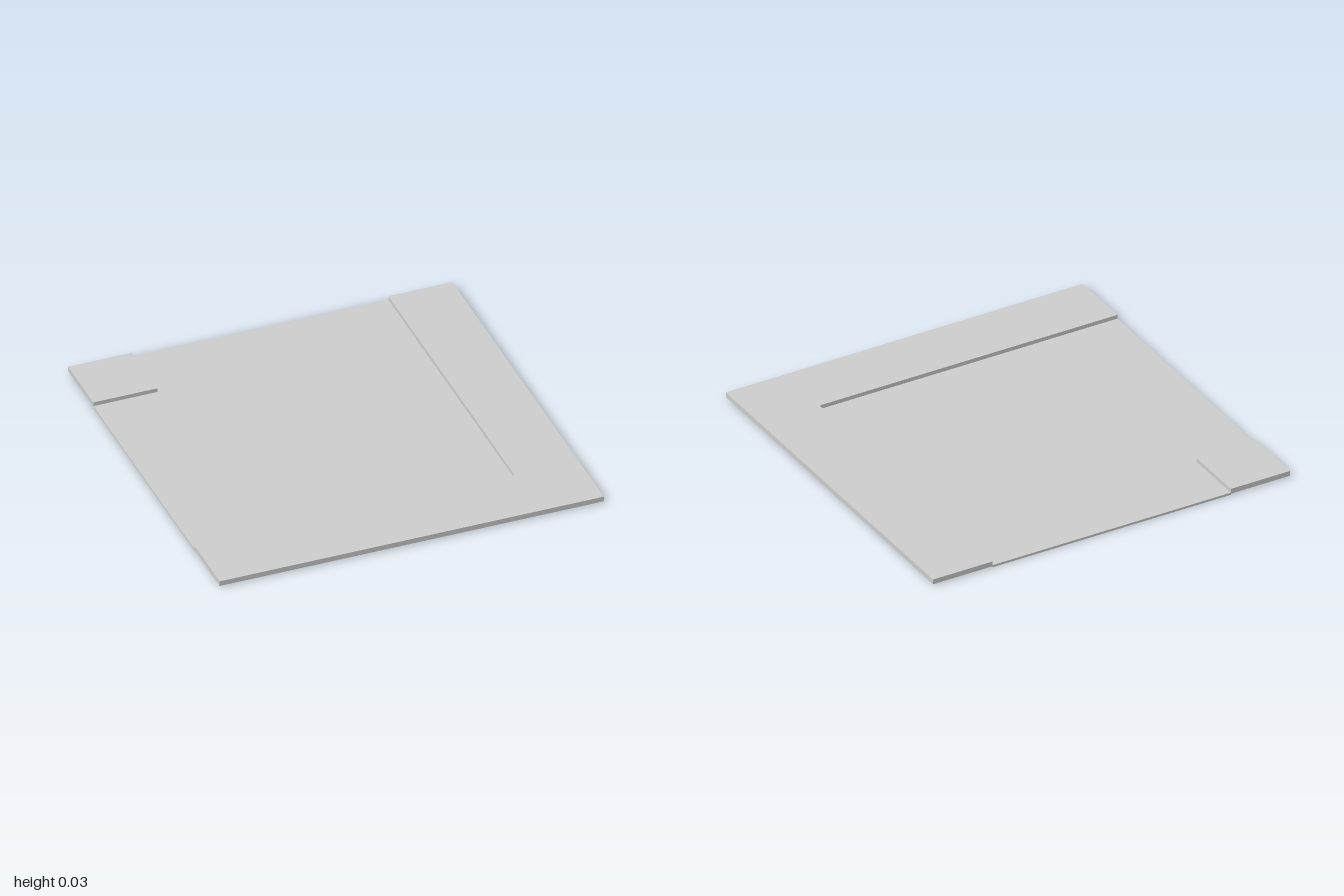
import * as THREE from 'three';

const material = new THREE.MeshStandardMaterial({ color: 0xcccccc, flatShading: true });

// Flat slab from an outline of [x, z] points, between two heights
function slab(name, outline, bottom, top) {
  const shape = new THREE.Shape(outline.map(([x, z]) => new THREE.Vector2(x, -z)));
  const geometry = new THREE.ExtrudeGeometry(shape, { depth: top - bottom, bevelEnabled: false });
  geometry.rotateX(-Math.PI / 2).translate(0, bottom, 0);
  const mesh = new THREE.Mesh(geometry, material);
  mesh.name = name;
  return mesh;
}

export function createModel() {
  const group = new THREE.Group();
  group.name = 'cornerTile';
  const e = 0.667; // inner edge of the border
  const low = 0.006, mid = 0.012, high = 0.033;

  // Thin sunken panel, reaching slightly below the raised pieces
  group.add(slab('panel', [[-1, e], [e, e], [e, -1], [-e, -1], [-e, -e], [-1, -e]], 0, mid));
  // Raised L-shaped border along the front and left sides
  group.add(slab('border', [[-1, 1], [1, 1], [1, -1], [e, -1], [e, e], [-1, e]], low, high));
  // Raised square at the opposite corner
  group.add(slab('cornerSquare', [[-1, -e], [-e, -e], [-e, -1], [-1, -1]], low, high));
  return group;
}
